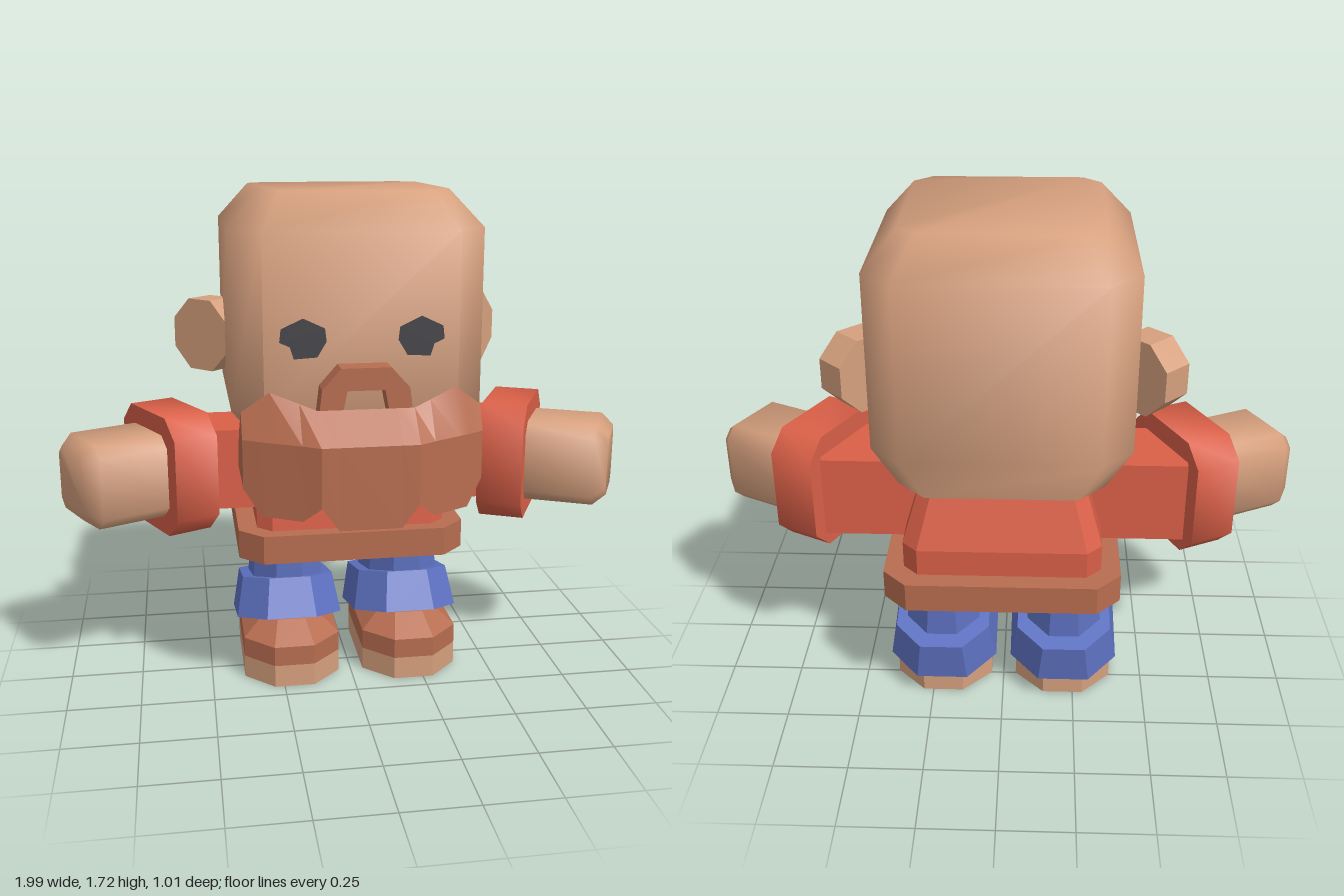
import * as THREE from 'three';
import { toCreasedNormals } from 'three/addons/utils/BufferGeometryUtils.js';

const mat = (name, color) => Object.assign(new THREE.MeshStandardMaterial({ color }), { name });

// Octagonal ring: a rectangle with cut corners; slope tilts it along z
function ring(y, x0, x1, z0, z1, c, slope = 0) {
  return [[x0 + c, z1], [x1 - c, z1], [x1, z1 - c], [x1, z0 + c],
    [x1 - c, z0], [x0 + c, z0], [x0, z0 + c], [x0, z1 - c]]
    .map(([x, z]) => [x, y + slope * z, z]);
}

// Closed skin over a stack of rings, smooth below the crease angle
function loft(rings, crease = 0.3) {
  const n = rings[0].length, last = (rings.length - 1) * n, index = [];
  for (let r = 0; r < rings.length - 1; r++) {
    for (let i = 0; i < n; i++) {
      const a = r * n + i, b = r * n + (i + 1) % n;
      index.push(a, b, b + n, a, b + n, a + n);
    }
  }
  for (let i = 1; i < n - 1; i++) {
    index.push(0, i + 1, i, last, last + i, last + i + 1);
  }
  const g = new THREE.BufferGeometry();
  g.setAttribute('position', new THREE.Float32BufferAttribute(rings.flat(2), 3));
  g.setIndex(index);
  return toCreasedNormals(g, crease);
}

export function createModel() {
  const model = new THREE.Group();
  const skin = mat('skin', 0xd6a07e);
  const red = mat('red cloth', 0xda6048);
  const brown = mat('brown', 0xb76d50);
  const blue = mat('blue cloth', 0x5e72c2);
  const dark = mat('eye dark', 0x45454a);

  function add(name, geometry, material) {
    const mesh = new THREE.Mesh(geometry, material);
    mesh.name = name;
    model.add(mesh);
    return mesh;
  }

  // Head: rounded block with an upright back edge at the bottom
  add('head', loft([
    ring(0.9, -0.33, 0.33, -0.505, 0.23, 0.09),
    ring(1.02, -0.415, 0.415, -0.505, 0.33, 0.1),
    ring(1.6, -0.415, 0.415, -0.505, 0.33, 0.1),
    ring(1.72, -0.31, 0.31, -0.4, 0.225, 0.06),
  ], 1.05), skin);

  // Beard: cross-sections from side to side
  // x, front z, top y, top z, bottom y
  const half = [
    [0.1, 0.51, 1.055, 0.41, 0.69],
    [0.155, 0.51, 1.055, 0.41, 0.765],
    [0.21, 0.475, 1.075, 0.39, 0.715],
    [0.3, 0.425, 1.105, 0.35, 0.715],
    [0.335, 0.405, 1.08, 0.34, 0.715],
    [0.39, 0.37, 1.04, 0.33, 0.8],
  ];
  const columns = [...half.map(([x, ...r]) => [-x, ...r]).reverse(), ...half];
  add('beard', loft(columns.map(([x, zf, yt, zt, yb]) => [
    [x, 0.93, 0.18], [x, yt, zt], [x, 0.96, zf], [x, yb, zf], [x, yb, 0.12],
  ])), brown);

  // Moustache: angular arch over the mouth
  const arch = new THREE.Shape([
    [-0.15, 1.04], [-0.075, 1.04], [-0.06, 1.115], [0.06, 1.115], [0.075, 1.04],
    [0.15, 1.04], [0.14, 1.12], [0.08, 1.187], [-0.08, 1.187], [-0.14, 1.12],
  ].map(p => new THREE.Vector2(...p)));
  add('moustache', new THREE.ExtrudeGeometry(arch, { depth: 0.09, bevelEnabled: false })
    .translate(0, 0, 0.32), brown);

  // Shirt body and its hem
  add('shirt', loft([
    ring(0.52, -0.33, 0.33, -0.44, 0.14, 0.05),
    ring(0.66, -0.33, 0.33, -0.445, 0.13, 0.05),
    ring(0.93, -0.25, 0.25, -0.36, 0.1, 0.04),
  ]), red);
  add('hem', loft([
    ring(0.465, -0.395, 0.395, -0.505, 0.19, 0.08),
    ring(0.565, -0.395, 0.395, -0.505, 0.19, 0.08),
  ]), brown);

  for (const s of [-1, 1]) {
    const side = s > 0 ? 'left' : 'right';

    // Ear: thick octagonal disc turned outwards
    const ear = new THREE.CylinderGeometry(0.135, 0.135, 0.11, 8)
      .rotateY(Math.PI / 8).rotateX(Math.PI / 2).rotateY(s * Math.PI / 4);
    add(side + 'Ear', toCreasedNormals(ear, 0.3), skin).position.set(s * 0.46, 1.205, -0.2);

    // Eye: flat face with a nick at the lower outer corner
    const eye = new THREE.Shape([
      [0.26, 1.302], [0.19, 1.335], [0.12, 1.302], [0.115, 1.26],
      [0.145, 1.21], [0.22, 1.206], [0.232, 1.245], [0.265, 1.26],
    ].map(([x, y]) => new THREE.Vector2(s * x, y)));
    add(side + 'Eye', new THREE.ShapeGeometry(eye), dark).position.z = 0.335;

    // Arm: straight sleeve, then cuff and hand angled forwards
    add(side + 'Sleeve', new THREE.BoxGeometry(0.41, 0.285, 0.27), red)
      .position.set(s * 0.405, 0.753, -0.135);
    const armPart = (name, rings, material) => add(name, loft(rings, 1.05)
      .rotateZ(-s * Math.PI / 2).rotateY(-s * 0.454), material)
      .position.set(s * 0.62, 0.755, -0.08);
    armPart(side + 'Cuff', [-0.08, 0.08].map(y => ring(y, -0.21, 0.21, -0.205, 0.205, 0.07)), red);
    armPart(side + 'Hand', [
      ring(0, -0.145, 0.145, -0.145, 0.145, 0.04),
      ring(0.32, -0.145, 0.145, -0.145, 0.145, 0.04),
      ring(0.365, -0.11, 0.11, -0.11, 0.11, 0.03),
    ], skin);

    // Leg, rolled trouser cuff and shoe, all about the leg's centre line
    const legPart = (name, rings, material) =>
      add(name, loft(rings), material).position.x = s * 0.214;
    legPart(side + 'Leg', [
      ring(0.18, -0.135, 0.135, -0.35, 0.035, 0.08),
      ring(0.5, -0.112, 0.112, -0.35, 0.035, 0.07),
    ], blue);
    legPart(side + 'TrouserCuff', [
      ring(0.195, -0.188, 0.188, -0.39, 0.115, 0.1, 0.265),
      ring(0.342, -0.163, 0.163, -0.405, 0.05, 0.09, 0.265),
    ], blue);
    legPart(side + 'Shoe', [
      ring(0.08, -0.17, 0.17, -0.35, 0.188, 0.1),
      ring(0.15, -0.17, 0.17, -0.35, 0.188, 0.1),
      ring(0.212, -0.1, 0.1, -0.27, 0.09, 0.05),
    ], brown);
    legPart(side + 'Sole', [
      ring(0, -0.17, 0.17, -0.35, 0.188, 0.1),
      ring(0.08, -0.17, 0.17, -0.35, 0.188, 0.1),
    ], skin);
  }
  return model;
}
